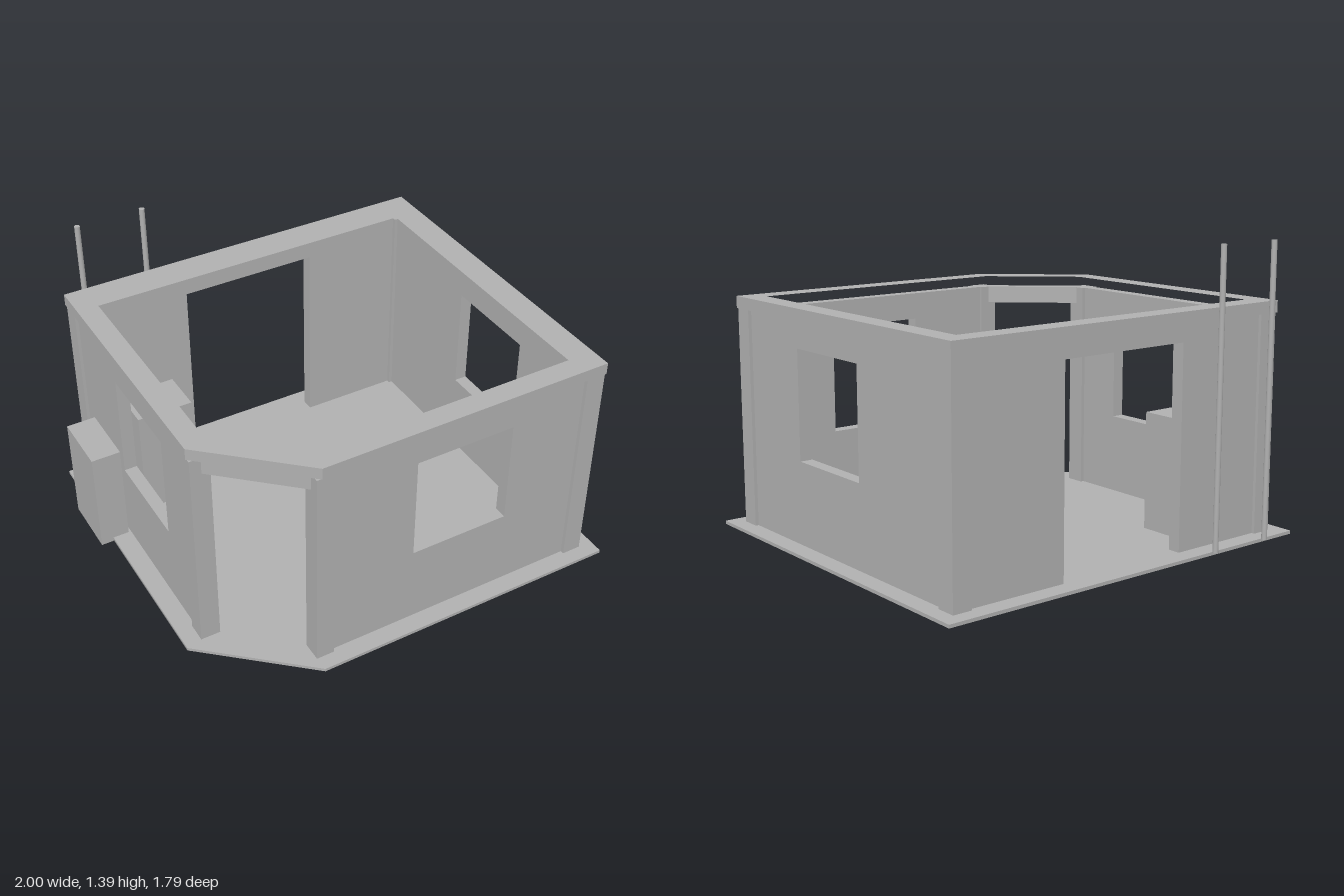
import * as THREE from 'three';

export function createModel() {
  const model = new THREE.Group();
  model.name = 'cabin';
  const grey = new THREE.MeshStandardMaterial({ color: 0xb0b0b0 });
  grey.name = 'plain grey';

  function add(name, geometry) {
    const mesh = new THREE.Mesh(geometry, grey);
    mesh.name = name;
    model.add(mesh);
    return mesh;
  }

  // box given by its limits on each axis
  function block(name, x0, x1, y0, y1, z0, z1) {
    return add(name, new THREE.BoxGeometry(x1 - x0, y1 - y0, z1 - z0))
      .position.set((x0 + x1) / 2, (y0 + y1) / 2, (z0 + z1) / 2);
  }

  // rectangle outline with its front left corner cut off: cut runs from (x0, cz) to (cx, z1)
  const outline = (x0, x1, z0, z1, cx, cz) =>
    [[x0, z0], [x1, z0], [x1, z1], [cx, z1], [x0, cz]].map(([x, z]) => new THREE.Vector2(x, -z));

  // horizontal plate extruded upwards from an outline
  function plate(name, y0, y1, points, hole) {
    const shape = new THREE.Shape(points);
    if (hole) shape.holes.push(new THREE.Path(hole));
    const geometry = new THREE.ExtrudeGeometry(shape, { depth: y1 - y0, bevelEnabled: false });
    geometry.rotateX(-Math.PI / 2);
    geometry.translate(0, y0, 0);
    return add(name, geometry);
  }

  const floor = 0.05, wallTop = 1.055, doorTop = 0.975, thick = 0.06;

  // base
  plate('foundation', 0, 0.035, outline(-0.82, 0.88, -0.755, 0.775, -0.44, 0.43));
  plate('floorSlab', 0.035, floor, outline(-0.94, 0.995, -0.87, 0.89, -0.48, 0.49));

  // ring beam around the top of the walls
  plate('ringBeam', wallTop, 1.11, outline(-0.87, 0.93, -0.807, 0.826, -0.46, 0.455),
    outline(-0.77, 0.83, -0.705, 0.725, -0.42, 0.41));

  // corner posts, two of them flanking the angled entrance
  for (const [x, z] of [[-0.865, -0.8], [0.833, -0.8], [0.833, 0.73], [-0.483, 0.73], [-0.865, 0.383]]) {
    block('cornerPost', x, x + (x === -0.483 ? 0.085 : 0.092), floor, wallTop, z, z + 0.092);
  }

  // wall panel in the xy plane with a rectangular opening; reaching the floor makes it a door
  function panel(a, b, o0, o1, bottom, top) {
    const v = (x, y) => new THREE.Vector2(x, y);
    let shape;
    if (bottom > floor) {
      shape = new THREE.Shape([v(a, floor), v(b, floor), v(b, wallTop), v(a, wallTop)]);
      shape.holes.push(new THREE.Path([v(o0, bottom), v(o0, top), v(o1, top), v(o1, bottom)]));
    } else {
      shape = new THREE.Shape([v(a, floor), v(o0, floor), v(o0, top), v(o1, top), v(o1, floor),
        v(b, floor), v(b, wallTop), v(a, wallTop)]);
    }
    return new THREE.ExtrudeGeometry(shape, { depth: thick, bevelEnabled: false });
  }

  // front and back walls, set in slightly from the posts
  add('frontWall', panel(-0.4, 0.835, 0, 0.473, 0.43, 0.93)).position.z = 0.745;
  add('backWall', panel(-0.775, 0.835, -0.305, 0.355, floor, doorTop)).position.z = -0.785;

  // side walls: panel x becomes -z after the turn
  const right = add('leftWall', panel(-0.732, 0.71, -0.333, 0.135, 0.43, 0.93));
  right.rotation.y = Math.PI / 2;
  right.position.x = 0.85;
  const left = add('rightWall', panel(-0.385, 0.71, -0.163, 0.31, 0.43, 0.93));
  left.rotation.y = Math.PI / 2;
  left.position.x = -0.85;

  // lintel above the angled entrance
  const dx = 0.36, dz = 0.327;
  const lintel = add('entranceLintel',
    new THREE.BoxGeometry(Math.hypot(dx, dz), wallTop - doorTop, thick));
  lintel.position.set(-0.625, (wallTop + doorTop) / 2, 0.605);
  lintel.rotation.y = -Math.atan2(dz, dx);

  // cabinets inside and outside
  block('innerCabinet', -0.72, -0.45, floor, 0.595, -0.63, -0.42);
  block('outerCabinet', -1, -0.862, 0.03, 0.54, -0.607, -0.313);

  // tall poles behind the back wall
  for (const x of [-0.745, -0.43]) {
    add('pole', new THREE.CylinderGeometry(0.013, 0.013, 1.34, 12)).position.set(x, 0.72, -0.884);
  }

  return model;
}
